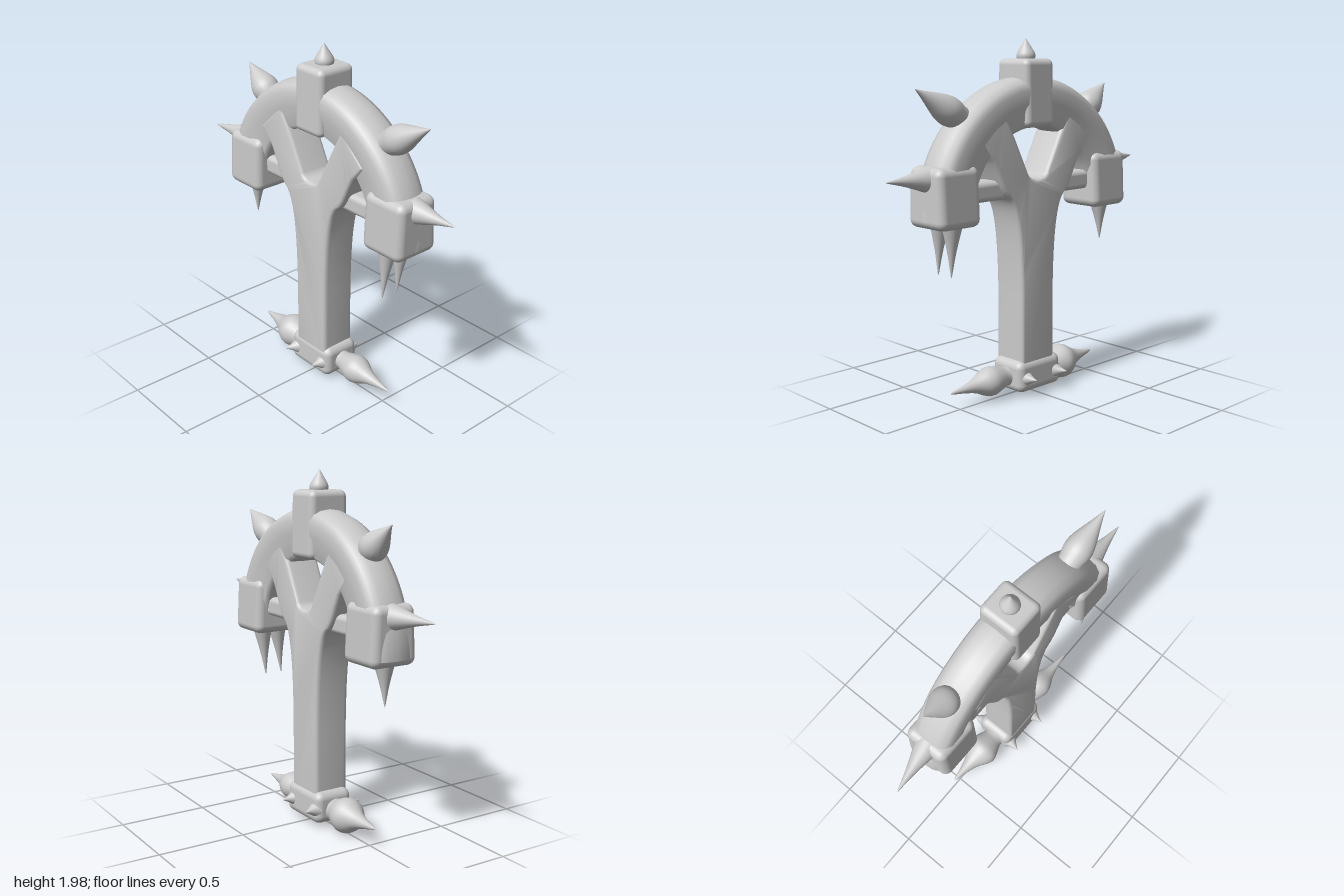
import * as THREE from 'three';
import { toCreasedNormals } from 'three/addons/utils/BufferGeometryUtils.js';
import { RoundedBoxGeometry } from 'three/addons/geometries/RoundedBoxGeometry.js';

const material = new THREE.MeshStandardMaterial({ color: 0xcccccc });
const doubleSided = new THREE.MeshStandardMaterial({ color: 0xcccccc, side: THREE.DoubleSide });

// Spike profiles: [position along the axis, radius as a share of the widest]
const CONE = [[0, 1.1], [0.12, 0.95], [0.35, 0.66], [0.6, 0.38], [0.85, 0.16], [0.96, 0.06], [1, 0]];
const THORN = [[0, 0.8], [0.15, 0.9], [0.3, 1], [0.45, 0.9], [0.65, 0.58], [0.85, 0.24], [0.97, 0.06], [1, 0]];
const BULB = [[0, 0.75], [0.1, 0.66], [0.22, 0.85], [0.34, 1], [0.45, 0.88], [0.6, 0.5], [0.78, 0.26], [0.95, 0.1], [1, 0]];

export function createModel() {
  const model = new THREE.Group();
  model.name = 'spikedArch';

  const add = (name, geometry, mat = material) => {
    const mesh = new THREE.Mesh(geometry, mat);
    mesh.name = name;
    model.add(mesh);
    return mesh;
  };

  // Lathed spike running from a buried base to its tip
  const spike = (name, base, tip, radius, profile) => {
    const from = new THREE.Vector3(...base);
    const axis = new THREE.Vector3(...tip).sub(from);
    const length = axis.length();
    const curve = new THREE.SplineCurve(profile.map(([t, r]) => new THREE.Vector2(r * radius, t * length)));
    const points = curve.getPoints(24);
    points.forEach((p) => { p.x = Math.max(p.x, 0); });
    const mesh = add(name, new THREE.LatheGeometry(points, 24));
    mesh.position.copy(from);
    mesh.quaternion.setFromUnitVectors(new THREE.Vector3(0, 1, 0), axis.normalize());
  };

  // Rounded block whose width can taper towards the top
  const block = (name, size, position, topScale = 1, round = 0.035) => {
    const geometry = new RoundedBoxGeometry(...size, 4, round);
    const p = geometry.attributes.position;
    for (let i = 0; i < p.count; i++) {
      const k = THREE.MathUtils.lerp(1, topScale, p.getY(i) / size[1] + 0.5);
      p.setX(i, p.getX(i) * k);
    }
    add(name, geometry).position.set(...position);
  };

  // Post that splits into two branches, drawn as z and y and extruded across x
  const outline = new THREE.Shape();
  outline.moveTo(-0.125, 0.1);
  outline.lineTo(0.125, 0.1);
  outline.lineTo(0.125, 0.6);
  outline.bezierCurveTo(0.13, 0.9, 0.15, 1.1, 0.22, 1.15);
  outline.bezierCurveTo(0.27, 1.19, 0.28, 1.26, 0.34, 1.36);
  outline.lineTo(0.42, 1.45);
  outline.lineTo(0.25, 1.61);
  outline.lineTo(0.17, 1.47);
  outline.lineTo(0.07, 1.27);
  outline.quadraticCurveTo(0.05, 1.237, 0, 1.237);
  outline.quadraticCurveTo(-0.05, 1.237, -0.07, 1.27);
  outline.lineTo(-0.17, 1.47);
  outline.lineTo(-0.25, 1.61);
  outline.lineTo(-0.42, 1.45);
  outline.lineTo(-0.34, 1.36);
  outline.bezierCurveTo(-0.28, 1.26, -0.27, 1.19, -0.22, 1.15);
  outline.bezierCurveTo(-0.15, 1.1, -0.13, 0.9, -0.125, 0.6);
  const post = new THREE.ExtrudeGeometry(outline, {
    depth: 0.16, bevelSize: 0.02, bevelThickness: 0.025, bevelOffset: -0.02, bevelSegments: 4, curveSegments: 16,
  });
  post.translate(0, 0, -0.08).rotateY(-Math.PI / 2);
  add('forkedPost', toCreasedNormals(post, 0.7)).position.x = -0.005;

  // Half-ring arch, slightly narrower towards its inner edge
  const section = [
    [0.45, 0], [0.453, -0.07], [0.475, -0.095], [0.55, -0.1], [0.585, -0.115], [0.66, -0.117],
    [0.7, -0.1], [0.72, -0.06], [0.728, 0],
  ];
  const mirrored = section.slice(0, -1).reverse().map(([r, x]) => [r, -x]);
  const ring = [...section, ...mirrored].map(([r, x]) => new THREE.Vector2(r, x));
  const arch = new THREE.LatheGeometry(ring, 64, Math.PI, Math.PI);
  arch.rotateZ(-Math.PI / 2);
  add('arch', arch, doubleSided).position.y = 1.07;

  // Blocks at the top and bottom
  block('crownBlock', [0.25, 0.37, 0.215], [-0.003, 1.705, 0], 0.93);
  block('baseBlock', [0.25, 0.18, 0.33], [0, 0.13, -0.005], 0.9, 0.045);

  // Arch end blocks and the bars tying them to the post
  for (const side of [1, -1]) {
    const end = side > 0 ? 'front' : 'back';
    block(end + 'EndBlock', [0.285, 0.32, 0.28], [-0.003, 1.19, side * (side > 0 ? 0.585 : 0.565)], 0.88, 0.045);
    block(end + 'CrossBar', [0.14, 0.11, 0.36], [0, 1.195, side * 0.33], 1, 0.03);
    // Small studs on the sides of the base
    for (const x of [1, -1]) {
      spike(end + 'BaseStud', [x * 0.1, 0.12, side > 0 ? 0.1 : -0.125], [x * 0.183, 0.125, side > 0 ? 0.095 : -0.145], 0.042, CONE);
    }
  }

  // Spikes
  spike('crownSpike', [0, 1.86, 0], [-0.005, 2, 0], 0.052, THORN);
  spike('frontShoulderSpike', [0, 1.575, 0.46], [0, 1.745, 0.77], 0.078, THORN);
  spike('backShoulderSpike', [0, 1.565, -0.44], [-0.005, 1.745, -0.655], 0.078, THORN);
  spike('frontOuterSpike', [0, 1.285, 0.69], [0, 1.295, 0.96], 0.065, CONE);
  spike('backOuterSpike', [0, 1.285, -0.67], [-0.045, 1.29, -0.955], 0.065, CONE);
  spike('frontHangingSpike', [-0.065, 1.06, 0.57], [-0.09, 0.755, 0.565], 0.052, CONE);
  spike('frontHangingSpike', [0.035, 1.06, 0.57], [0.017, 0.755, 0.565], 0.055, CONE);
  spike('backHangingSpike', [0, 1.06, -0.61], [0, 0.81, -0.62], 0.056, CONE);
  spike('frontBaseSpike', [0, 0.125, 0.13], [-0.01, 0.115, 0.56], 0.082, BULB);
  spike('backBaseSpike', [-0.005, 0.11, -0.14], [0, 0.125, -0.55], 0.1, BULB);

  return model;
}
